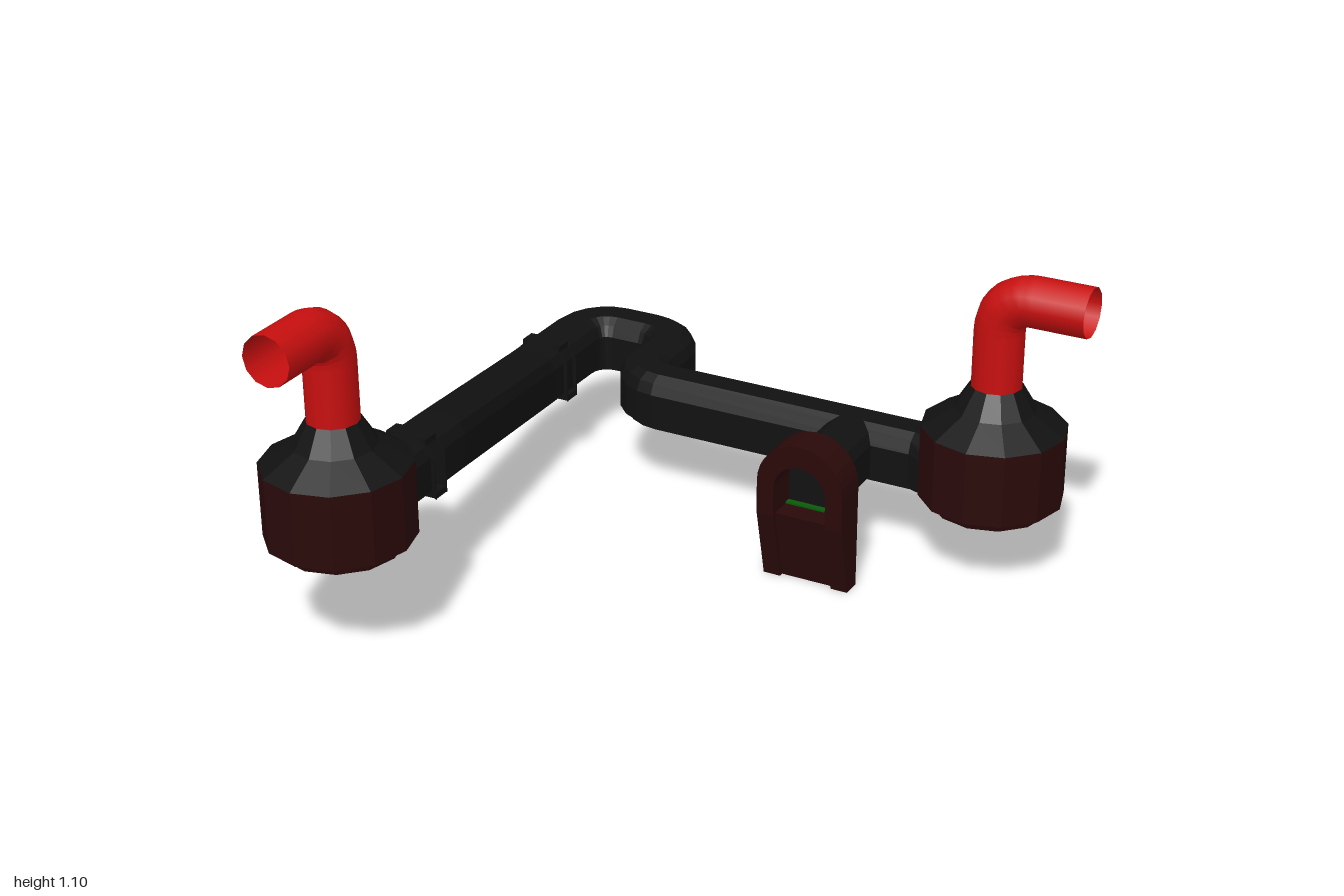
import * as THREE from 'three';

const mat = (color) => new THREE.MeshStandardMaterial({ color, flatShading: true, side: THREE.DoubleSide });
const black = mat(0x111111), darkRed = mat(0x2a0909), green = mat(0x0a5a0a);
const red = new THREE.MeshStandardMaterial({ color: 0xc80f0f, side: THREE.DoubleSide });

function add(parent, name, geometry, material) {
  const mesh = new THREE.Mesh(geometry, material);
  mesh.name = name;
  parent.add(mesh);
  return mesh;
}

// Sweeps a profile of [side, height] along a path, mitred in plan; widths scale the side axis
function sweep(path, profile, closed, widths = []) {
  const rings = path.map((p, i) => {
    const flat = (a, b) => new THREE.Vector3(b.x - a.x, 0, b.z - a.z).normalize();
    const before = flat(path[Math.max(i - 1, 0)], path[Math.max(i, 1)]);
    const after = flat(path[Math.min(i, path.length - 2)], path[Math.min(i + 1, path.length - 1)]);
    const t = before.clone().add(after).normalize();
    const k = (widths[i] ?? 1) / t.dot(before);
    return profile.map(([s, h]) => new THREE.Vector3(p.x + t.z * s * k, p.y + h, p.z - t.x * s * k));
  });
  const pos = [];
  const n = profile.length;
  for (let i = 0; i < path.length - 1; i++) {
    for (let j = 0; j < (closed ? n : n - 1); j++) {
      const m = (j + 1) % n;
      const [a, b, c, d] = [rings[i][j], rings[i][m], rings[i + 1][m], rings[i + 1][j]];
      for (const v of [a, b, c, a, c, d]) pos.push(v.x, v.y, v.z);
    }
  }
  const g = new THREE.BufferGeometry();
  g.setAttribute('position', new THREE.Float32BufferAttribute(pos, 3));
  g.computeVertexNormals();
  return g;
}

const V = (x, y, z) => new THREE.Vector3(x, y, z);

// Rounded right-angle corner
function corner(p, d1, d2, r = 0.115, n = 5) {
  return Array.from({ length: n + 1 }, (_, i) => {
    const a = (i / n) * Math.PI / 2;
    return p.clone().addScaledVector(d1, r * (Math.sin(a) - 1)).addScaledVector(d2, r * (1 - Math.cos(a)));
  });
}

// Duct section: arched shell, with a narrower keel below it
const shell = [[0.085, 0.025], [0.085, 0.13], [0.07, 0.165], [0.04, 0.185],
  [-0.04, 0.185], [-0.07, 0.165], [-0.085, 0.13], [-0.085, 0.025]];
const keel = [[-0.06, 0.025], [-0.06, 0], [0.06, 0], [0.06, 0.025]];

function duct(name, path, widths) {
  const g = new THREE.Group();
  g.name = name;
  add(g, 'ductShell', sweep(path, shell, false, widths), black);
  add(g, 'ductKeel', sweep(path, keel, false, widths), black);
  for (const s of [-1, 1]) {
    const strip = s < 0 ? [[-0.085, 0.025], [-0.06, 0.025]] : [[0.06, 0.025], [0.085, 0.025]];
    add(g, 'greenStrip', sweep(path, strip, false, widths), green);
  }
  return g;
}

// Twelve-sided pod with a bent outlet pipe; the outlet points to local +z
function pod(name, x, y, z, reach, turn) {
  const g = new THREE.Group();
  g.name = name;
  const lathe = (pts) => new THREE.LatheGeometry(pts.map(([r, h]) => new THREE.Vector2(r, h)), 12);
  add(g, 'podBowl', lathe([[0, 0], [0.12, 0.005], [0.18, 0.02], [0.19, 0.055]]), darkRed);
  add(g, 'podGreenRing', lathe([[0.19, 0.055], [0.222, 0.055]]), green);
  add(g, 'podWall', lathe([[0.222, 0.055], [0.222, 0.285]]), darkRed);
  add(g, 'podShoulder', lathe([[0.222, 0.285], [0.125, 0.345], [0.08, 0.42]]), black);
  const path = new THREE.CurvePath();
  const bend = 0.1, top = 0.705;
  path.add(new THREE.LineCurve3(V(0, 0.34, 0), V(0, top - bend, 0)));
  const arc = corner(V(0, top, 0), V(0, 1, 0), V(0, 0, 1), bend, 6);
  for (let i = 0; i < 6; i++) path.add(new THREE.LineCurve3(arc[i], arc[i + 1]));
  path.add(new THREE.LineCurve3(V(0, top, bend), V(0, top, reach)));
  add(g, 'outletPipe', new THREE.TubeGeometry(path, 40, 0.077, 12, false), red);
  g.position.set(x, y, z);
  g.rotation.y = turn;
  return g;
}

// Thin collar fins with pointed feet on both sides of the duct
function clamp(x, y, z, half) {
  const g = new THREE.Group();
  g.name = 'ductClamp';
  const s = new THREE.Shape([[-half, 0], [-0.06, 0.03], [0.06, 0.03], [half, 0], [half, 0.13],
    [0.075, 0.165], [0.045, 0.19], [-0.045, 0.19], [-0.075, 0.165], [-half, 0.13]]
    .map((p) => new THREE.Vector2(...p)));
  for (const dz of [-0.028, 0.028]) {
    add(g, 'clampFin', new THREE.ExtrudeGeometry(s, { depth: 0.004, bevelEnabled: false }), black)
      .position.z = dz - 0.002;
  }
  add(g, 'clampRoof', new THREE.BoxGeometry(half * 1.4, 0.02, 0.055), black).position.y = 0.178;
  add(g, 'clampFloor', new THREE.BoxGeometry(half * 2, 0.02, 0.055), black).position.y = 0.012;
  g.position.set(x, y, z);
  return g;
}

// Arched stand with a tapered foot
function stand() {
  const g = new THREE.Group();
  g.name = 'archStand';
  const arch = new THREE.Shape();
  arch.moveTo(-0.14, 0.23).lineTo(-0.085, 0.23).lineTo(-0.085, 0.325);
  arch.absarc(0, 0.325, 0.085, Math.PI, 0, true);
  arch.lineTo(0.085, 0.23).lineTo(0.14, 0.23).lineTo(0.14, 0.34);
  arch.absarc(0, 0.34, 0.14, 0, Math.PI, false);
  add(g, 'archFrame', new THREE.ExtrudeGeometry(arch, { depth: 0.115, bevelEnabled: false, curveSegments: 8 }), darkRed);
  const foot = (x, width, inset) => {
    const s = new THREE.Shape([[0, 0], [0, 0.235], [-0.115 + inset, 0.235], [-0.06 + inset, 0]]
      .map((p) => new THREE.Vector2(...p)));
    const geo = new THREE.ExtrudeGeometry(s, { depth: width, bevelEnabled: false });
    geo.rotateY(Math.PI / 2).translate(x - width / 2, 0, 0);
    add(g, 'standFoot', geo, darkRed);
  };
  foot(-0.1125, 0.055, 0);
  foot(0.1125, 0.055, 0);
  foot(0, 0.17, 0.015);
  // Dark back of the opening and the strip in front of it
  add(g, 'openingBack', new THREE.BoxGeometry(0.17, 0.19, 0.006), black).position.set(0, 0.32, 0.003);
  add(g, 'openingStrip', new THREE.BoxGeometry(0.15, 0.006, 0.02), green).position.set(0, 0.25, 0.04);
  g.position.set(0.25, 0, -0.295);
  return g;
}

export function createModel() {
  const model = new THREE.Group();
  model.name = 'pipework';
  const high = 0.345, low = 0.235;
  const X = V(1, 0, 0), Z = V(0, 0, 1), back = V(0, 0, -1);

  // Pods
  model.add(pod('frontPod', -0.76, 0.315, 0.72, 0.28, 0));
  model.add(pod('rearPod', 0.7, 0.2, -0.58, 0.28, Math.PI / 2));

  // Main duct: sloping run, return loop, then the rear run
  model.add(duct('mainDuct', [
    V(-0.76, high, 0.32), V(-0.76, high, 0.2), V(-0.875, low, -0.51),
    ...corner(V(-0.875, low, -0.915), back, X),
    ...corner(V(-0.535, low, -0.915), X, Z),
    ...corner(V(-0.535, low, -0.585), Z, X),
    V(0.62, low, -0.585),
  ]));
  model.add(duct('frontDuct', [V(-0.76, high, 0.375), V(-0.76, high, 0.48), V(-0.76, high, 0.56)], [1, 1, 1.6]));
  model.add(duct('rearNeck', [V(0.46, low, -0.585), V(0.56, low, -0.585)], [1, 1.6]));
  model.add(duct('branchDuct', [V(0.25, low, -0.58), V(0.25, low, -0.295)]));

  model.add(clamp(-0.76, high - 0.003, 0.348, 0.098));
  model.add(clamp(-0.875, low - 0.003, -0.605, 0.098));
  model.add(stand());
  return model;
}
